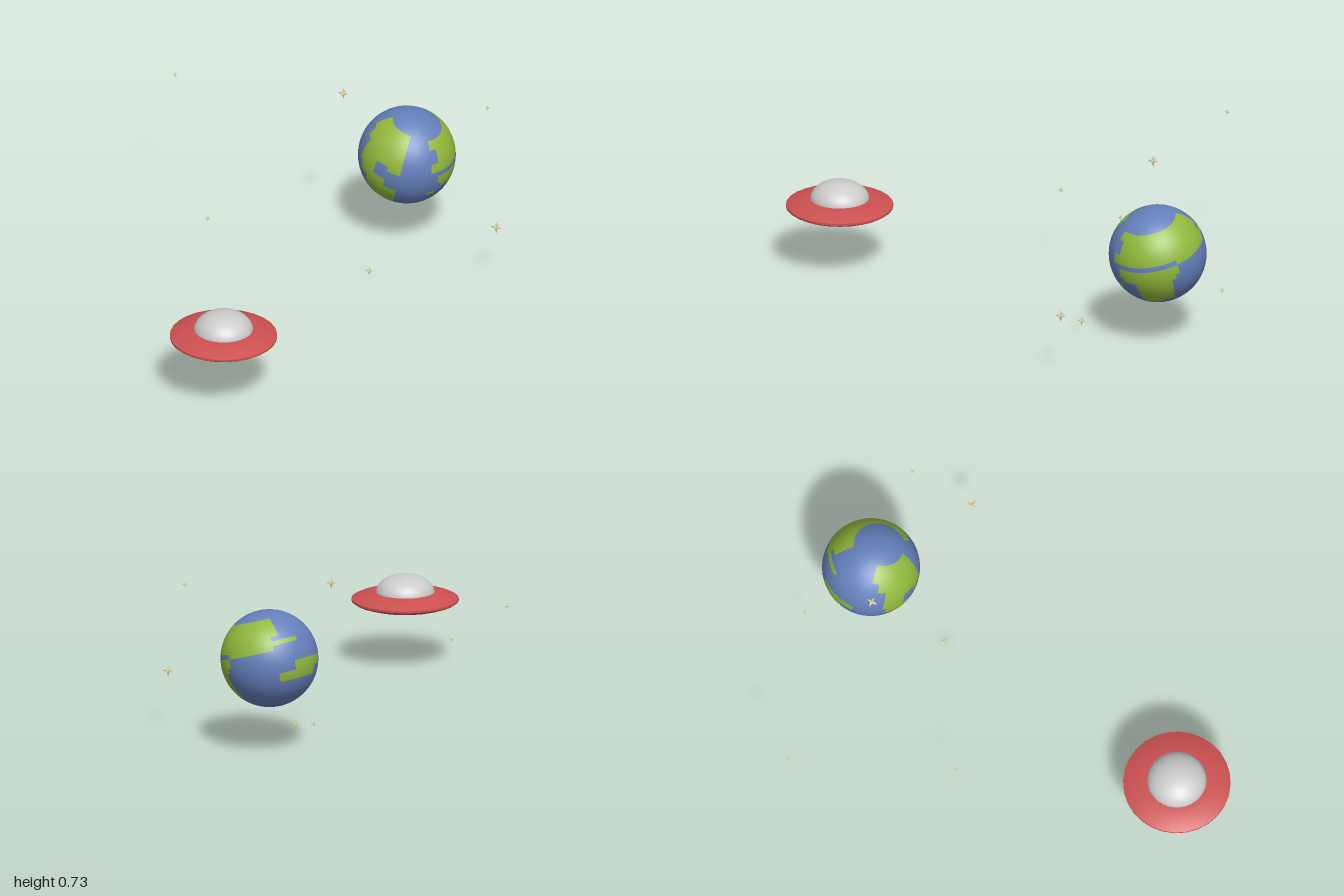
import * as THREE from 'three';
import { mergeGeometries } from 'three/addons/utils/BufferGeometryUtils.js';

const paint = (color, extra = {}) => new THREE.MeshStandardMaterial({ color, ...extra });

function addMesh(parent, name, geometry, material) {
  const mesh = new THREE.Mesh(geometry, material);
  mesh.name = name;
  parent.add(mesh);
  return mesh;
}

// Land patches in degrees: [west, east, south, north], longitude 0 faces the front
const LAND = [
  // western continents
  [-72, 13, 39, 62], [-62, 13, 28, 39], [-51, 13, 17, 28],
  [-51, -24, 0, 17], [-6, 13, 9, 17], [-45, -6, -12, 0], [-36, 12, -34, -11],
  [-24, 14, -45, -34], [-12, 8, -62, -45],
  // large eastern continent
  [51, 214, 45, 57], [62, 214, 28, 45], [51, 141, 17, 28],
  [141, 203, 10, 28], [203, 236, 17, 23],
  // southern continent
  [64, 140, 0, 10], [70, 135, -6, 0], [84, 130, -39, -6], [84, 112, -46, -39],
  // islands
  [48, 62, -17, -9],
  [203, 225, -28, -17], [225, 256, -28, -6], [256, 276, -17, -6],
];

function isLand(lon, lat) {
  return LAND.some(([w, e, s, n]) =>
    lat > s && lat < n && [lon, lon + 360].some((l) => l > w && l < e));
}

// Globe whose cells are sorted into sea and land
function createPlanet() {
  const planet = new THREE.Group();
  planet.name = 'planet';
  const sphere = new THREE.SphereGeometry(0.205, 64, 32);
  const pos = sphere.attributes.position;
  const sea = [], land = [];
  const centre = new THREE.Vector3(), corner = new THREE.Vector3();
  const cell = 180 / 32;
  const snap = (deg) => (Math.floor(deg / cell) + 0.5) * cell;
  for (let i = 0; i < sphere.index.count; i += 3) {
    const tri = [0, 1, 2].map((k) => sphere.index.getX(i + k));
    centre.set(0, 0, 0);
    tri.forEach((v) => centre.add(corner.fromBufferAttribute(pos, v)));
    centre.normalize();
    const lon = THREE.MathUtils.radToDeg(Math.atan2(centre.x, centre.z));
    const lat = THREE.MathUtils.radToDeg(Math.asin(centre.y));
    (isLand(snap(lon), snap(lat)) ? land : sea).push(...tri);
  }
  const part = (index) => sphere.clone().setIndex(index);
  addMesh(planet, 'sea', part(sea), paint(0x6480bb));
  addMesh(planet, 'land', part(land), paint(0x92b83c));
  // tilted axis
  const axis = new THREE.Vector3(0.26, 0.96, 0.115).normalize();
  const front = new THREE.Vector3(1, 0, 0).cross(axis).normalize();
  const side = new THREE.Vector3().crossVectors(axis, front);
  planet.quaternion.setFromRotationMatrix(new THREE.Matrix4().makeBasis(side, axis, front));
  planet.position.set(0.24, 0.4, -0.79);
  return planet;
}

// Lens-shaped hull with a thin rim and a low dome
function createSaucer() {
  const saucer = new THREE.Group();
  saucer.name = 'saucer';
  const sections = {
    underside: [[0, -0.04], [0.07, -0.038], [0.13, -0.031], [0.18, -0.021], [0.213, -0.01], [0.225, -0.002]],
    rim: [[0.225, -0.002], [0.225, 0.007]],
    topside: [[0.225, 0.007], [0.2, 0.018], [0.165, 0.028], [0.12, 0.037], [0, 0.042]],
  };
  const red = paint(0xcc5050);
  for (const [name, points] of Object.entries(sections)) {
    const profile = points.map(([r, y]) => new THREE.Vector2(r, y));
    addMesh(saucer, name, new THREE.LatheGeometry(profile, 28), red);
  }
  const dome = addMesh(saucer, 'dome',
    new THREE.SphereGeometry(0.125, 32, 12, 0, Math.PI * 2, 0, Math.PI / 2), paint(0xcccccc));
  dome.scale.y = 0.66;
  dome.position.y = 0.027;
  saucer.position.set(0.043, 0.275, 0.77);
  return saucer;
}

// Star with six four-sided spikes around a small cube
function starGeometry() {
  const half = 0.2;
  const spikes = [];
  const turns = [[0, 0], [Math.PI, 0], [Math.PI / 2, 0], [-Math.PI / 2, 0], [0, Math.PI / 2], [0, -Math.PI / 2]];
  for (const [rx, rz] of turns) {
    const spike = new THREE.ConeGeometry(half * Math.SQRT2, 1 - half, 4, 1, true);
    spike.rotateY(Math.PI / 4).translate(0, (1 + half) / 2, 0).rotateX(rx).rotateZ(rz);
    spikes.push(spike);
  }
  return mergeGeometries(spikes);
}

// Stars: [x, y, z, radius]
const STARS = [
  [-0.75, 0.65, -0.65, 0.013],
  [0.006, 0.708, -0.66, 0.026],
  [0.604, 0.695, -0.787, 0.013],
  [0.731, 0.261, -0.572, 0.027],
  [0.216, 0.024, -0.428, 0.02],
  [0.002, 0.177, -0.976, 0.013],
  [-0.364, 0.338, -0.062, 0.013],
];

export function createModel() {
  const model = new THREE.Group();
  model.name = 'spaceScene';
  model.add(createPlanet(), createSaucer());
  const stars = new THREE.Group();
  stars.name = 'stars';
  const geometry = starGeometry();
  const pale = paint(0xd9d3a0, { flatShading: true });
  for (const [x, y, z, radius] of STARS) {
    const star = addMesh(stars, 'star', geometry, pale);
    star.position.set(x, y, z);
    star.scale.setScalar(radius);
  }
  model.add(stars);
  return model;
}
